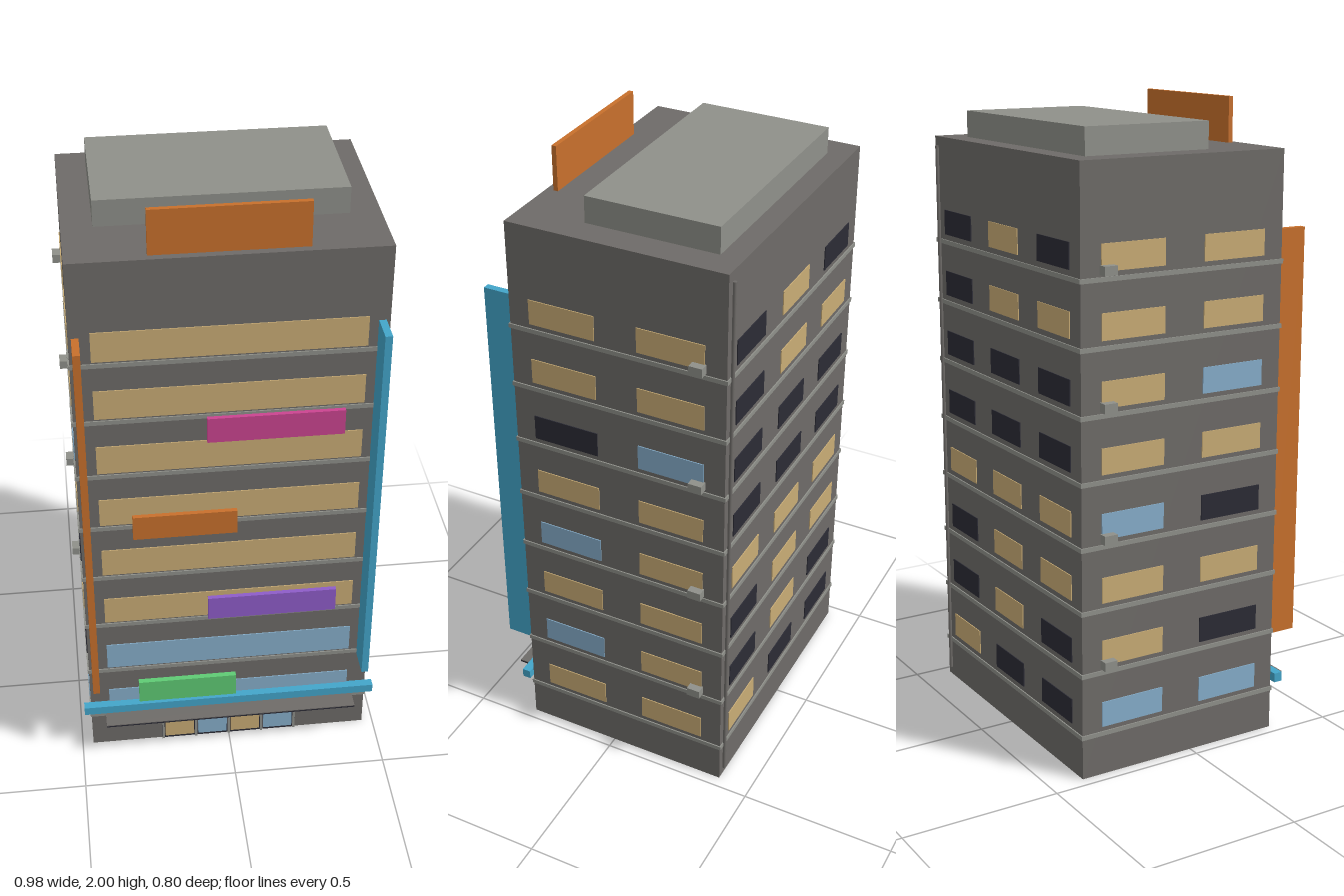
import * as THREE from 'three';

const mat = (name, color) => {
  const m = new THREE.MeshStandardMaterial({ color });
  m.name = name;
  return m;
};

export function createModel() {
  const model = new THREE.Group();
  model.name = 'building';
  const wall = mat('wall grey', 0x6e6b68);
  const trim = mat('trim grey', 0x8f908a);
  const warm = mat('lit window', 0xc9ac75);
  const sky = mat('blue window', 0x86aecb);
  const dark = mat('dark window', 0x2b2b35);
  const orange = mat('orange', 0xc8702c);
  const cyan = mat('cyan', 0x43a5ca);
  const pink = mat('magenta', 0xcb4490);
  const purple = mat('purple', 0x8e5cc9);
  const green = mat('green', 0x5fcb74);
  const glass = { W: warm, B: sky, D: dark };

  // box given by its min and max on each axis
  const box = (name, m, x0, x1, y0, y1, z0, z1) => {
    const mesh = new THREE.Mesh(new THREE.BoxGeometry(x1 - x0, y1 - y0, z1 - z0), m);
    mesh.position.set((x0 + x1) / 2, (y0 + y1) / 2, (z0 + z1) / 2);
    mesh.name = name;
    model.add(mesh);
    return mesh;
  };

  // body and roof
  const X = 0.464, ZF = 0.308, ZB = -0.39, T = 0.003;
  box('body', wall, -X, X, 0, 1.86, ZB, ZF);
  box('roofHouse', trim, -0.372, 0.372, 1.86, 1.943, -0.32, 0.1);
  box('roofBillboard', orange, -0.231, 0.231, 1.86, 2, 0.27, 0.285);

  // window colours per floor, bottom to top
  const front = 'BBWWWWWW';
  const back = ['WDD', 'DWD', 'DWW', 'WWW', 'DDD', 'DDD', 'DWW', 'DWD']; // +x to -x
  const left = ['WW', 'BW', 'WW', 'BW', 'WW', 'DB', 'WW', 'WW']; // front to back
  const right = ['BB', 'DW', 'WW', 'DB', 'WW', 'BW', 'WW', 'WW'];

  for (let i = 0; i < 8; i++) {
    const y = 0.135 + 0.1985 * i;
    box('floorLedge', trim, -X - 0.004, X + 0.004, y - 0.007, y + 0.007, ZB - 0.004, ZF + 0.004);

    box('frontWindow', glass[front[i]], -0.402, 0.402, y + 0.013, y + 0.111, ZF, ZF + T);
    [0.31, 0, -0.31].forEach((x, k) =>
      box('backWindow', glass[back[i][k]], x - 0.094, x + 0.094, y + 0.025, y + 0.104, ZB - T, ZB));
    [0.135, -0.215].forEach((z, k) => {
      box('leftWindow', glass[left[i][k]], X, X + T, y + 0.022, y + 0.102, z - 0.107, z + 0.107);
      box('rightWindow', glass[right[i][k]], -X - T, -X, y + 0.022, y + 0.102, z - 0.107, z + 0.107);
    });

    // air conditioners on every other floor, both sides
    if (i % 2) {
      for (const s of [-1, 1]) {
        const a = s * X, b = s * 0.492;
        box('airConditioner', trim, Math.min(a, b), Math.max(a, b), y + 0.013, y + 0.041, -0.327, -0.284);
      }
    }
  }

  // drain pipe on the back
  const pipe = new THREE.Mesh(new THREE.CylinderGeometry(0.006, 0.006, 1.8, 8), wall);
  pipe.position.set(0.44, 0.93, -0.396);
  pipe.name = 'drainPipe';
  model.add(pipe);

  // vertical fin signs
  box('rightFinSign', orange, -0.455, -0.433, 0.32, 1.62, ZF, 0.4);
  box('leftFinSign', cyan, 0.43, 0.452, 0.32, 1.62, ZF, 0.4);

  // flat signs on the front
  [[green, -0.302, 0.022, 0.195], [purple, -0.07, 0.345, 0.54],
    [orange, -0.302, 0.022, 0.89], [pink, -0.07, 0.345, 1.24]].forEach(([m, x0, x1, y]) =>
    box('frontSign', m, x0, x1, y, y + 0.085, ZF, 0.326));

  // fascia and canopy above the entrance
  box('fascia', cyan, -0.487, 0.487, 0.163, 0.193, ZF, 0.336);
  box('canopyTop', wall, -0.417, 0.417, 0.155, 0.158, ZF, 0.389);
  box('canopyUnderside', dark, -0.417, 0.417, 0.15, 0.155, ZF, 0.389);

  // entrance: dark backing, glass panes and mullions
  box('entranceBack', dark, -0.229, 0.229, 0, 0.122, ZF, ZF + 0.002);
  for (let i = 0; i < 4; i++) {
    const x = -0.168 + 0.112 * i;
    box('entrancePane', i % 2 ? sky : warm, x - 0.049, x + 0.049, 0.01, 0.11, ZF, ZF + 0.005);
  }
  for (let i = 0; i < 5; i++) {
    const x = -0.224 + 0.112 * i;
    box('mullion', trim, x - 0.004, x + 0.004, 0, 0.12, ZF, ZF + 0.007);
  }

  return model;
}
